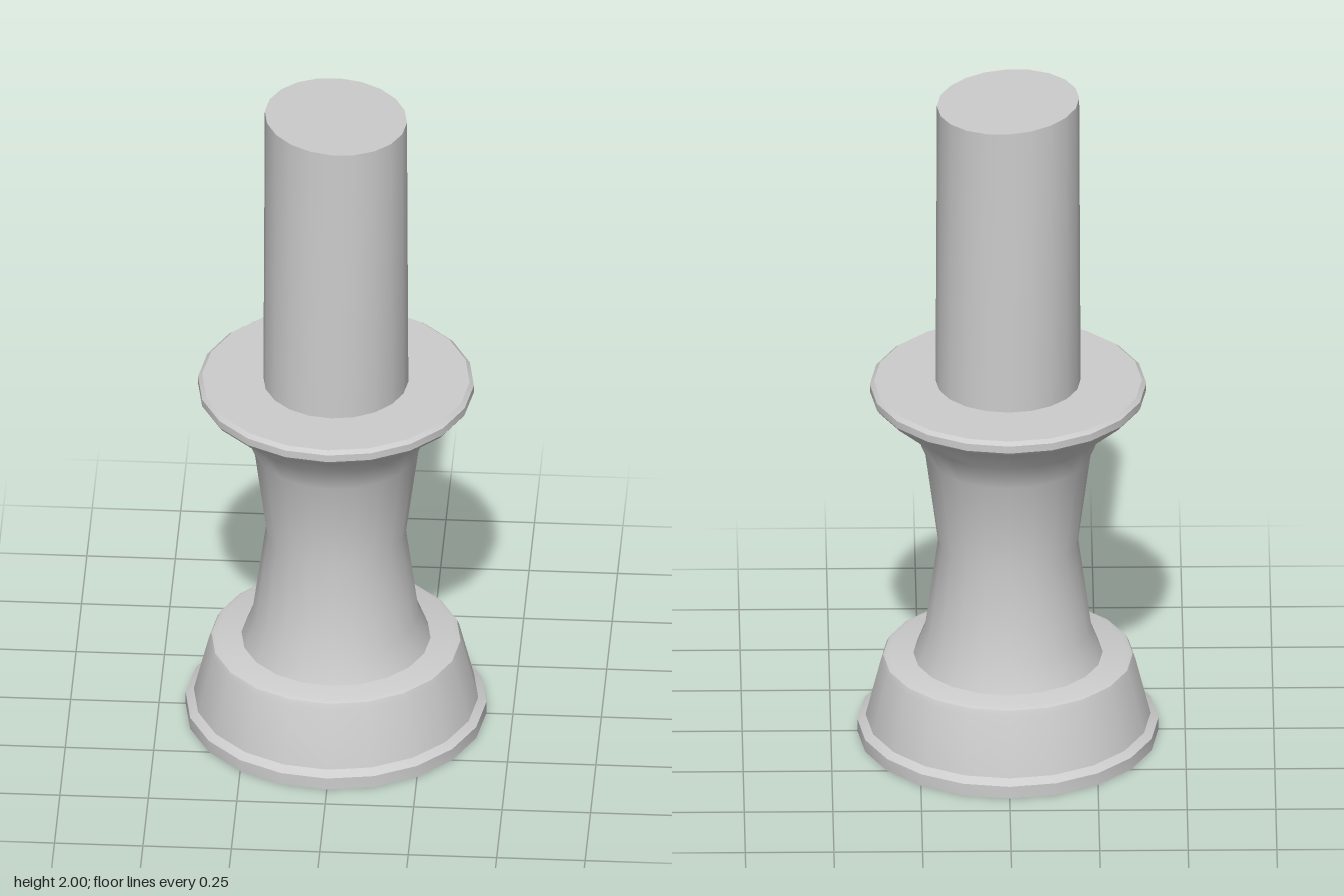
import * as THREE from 'three';
import { toCreasedNormals } from 'three/addons/utils/BufferGeometryUtils.js';

const SIDES = 20;
const CREASE = Math.PI / 6;
const material = new THREE.MeshStandardMaterial({ color: 0xcccccc });

function addPart(group, name, geometry) {
  const mesh = new THREE.Mesh(toCreasedNormals(geometry, CREASE), material);
  mesh.name = name;
  group.add(mesh);
  return mesh;
}

// Profile of [radius, height] pairs, from bottom to top
function turned(profile) {
  return new THREE.LatheGeometry(profile.map(([r, y]) => new THREE.Vector2(r, y)), SIDES);
}

export function createModel() {
  const group = new THREE.Group();
  group.name = 'candlestick';

  // Flared foot with a thin rim and a softened shoulder
  addPart(group, 'base', turned([
    [0, 0], [0.425, 0], [0.425, 0.037], [0.402, 0.052],
    [0.359, 0.225], [0.352, 0.241], [0.338, 0.247], [0, 0.247],
  ]));

  // Waisted stem opening into the drip tray
  addPart(group, 'stemAndTray', turned([
    [0.268, 0.245], [0.235, 0.33], [0.198, 0.605], [0.235, 0.885], [0.268, 0.965],
    [0.382, 1.065], [0.39, 1.076], [0.39, 1.098], [0.378, 1.108], [0, 1.108],
  ]));

  // Slightly tapered candle with a slanted top
  const candle = new THREE.CylinderGeometry(0.201, 0.205, 0.89, SIDES);
  candle.translate(0, 1.545, 0);
  const pos = candle.attributes.position;
  for (let i = 0; i < pos.count; i++) {
    if (pos.getY(i) > 1.5) pos.setY(i, 1.988 - 0.06 * pos.getX(i));
  }
  addPart(group, 'candle', candle).position.z = 0.006;

  return group;
}
